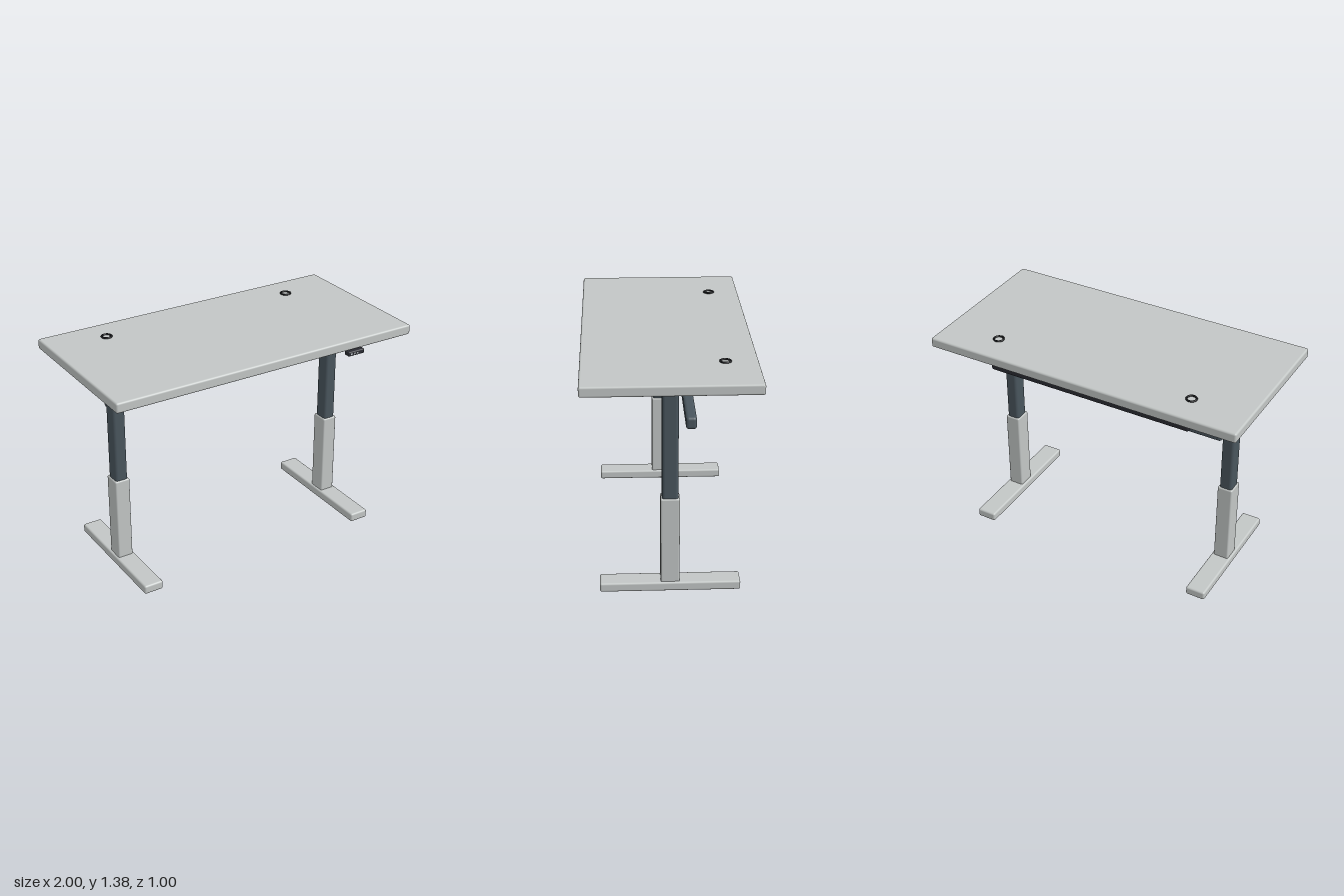
import * as THREE from 'three';
import { RoundedBoxGeometry } from 'three/addons/geometries/RoundedBoxGeometry.js';

const material = (name, color) => {
  const m = new THREE.MeshStandardMaterial({ color });
  m.name = name;
  return m;
};

export function createModel() {
  const desk = new THREE.Group();
  desk.name = 'standingDesk';

  const lightGrey = material('lightGrey', 0xc2c6c5);
  const slate = material('slate', 0x49555d);
  const charcoal = material('charcoal', 0x2a2b32);
  const black = material('black', 0x17181b);
  const buttonGrey = material('buttonGrey', 0xc9ced2);

  const add = (parent, name, geometry, mat, x, y, z) => {
    const mesh = new THREE.Mesh(geometry, mat);
    mesh.name = name;
    mesh.position.set(x, y, z);
    parent.add(mesh);
    return mesh;
  };
  // Rounded box given by its ranges [min, max] on each axis
  const block = (parent, name, mat, [x0, x1], [y0, y1], [z0, z1], radius) =>
    add(parent, name, new RoundedBoxGeometry(x1 - x0, y1 - y0, z1 - z0, 3, radius),
      mat, (x0 + x1) / 2, (y0 + y1) / 2, (z0 + z1) / 2);

  // Desktop
  block(desk, 'desktop', lightGrey, [-1, 1], [1.305, 1.367], [-0.5, 0.5], 0.012);

  for (const side of [-1, 1]) {
    // Telescopic leg with foot, floor pad and mounting plate
    const leg = new THREE.Group();
    leg.name = side > 0 ? 'leftLeg' : 'rightLeg';
    leg.position.x = side * 0.76;
    desk.add(leg);
    block(leg, 'foot', lightGrey, [-0.062, 0.062], [0.011, 0.067], [-0.41, 0.41], 0.012);
    block(leg, 'lowerColumn', lightGrey, [-0.048, 0.048], [0.05, 0.6], [-0.055, 0.055], 0.01);
    block(leg, 'upperColumn', slate, [-0.04, 0.04], [0.55, 1.274], [-0.047, 0.047], 0.018);
    block(leg, 'mountingPlate', lightGrey, [-0.1, 0.1], [1.273, 1.303], [-0.35, 0.35], 0.008);
    add(leg, 'floorPad', new THREE.BoxGeometry(0.07, 0.016, 0.08), black, 0, 0.008, 0);

    // Cable grommet ring
    const ring = add(desk, 'grommet', new THREE.TorusGeometry(0.029, 0.006, 10, 32),
      black, side * 0.64, 1.37, -0.313);
    ring.rotation.x = Math.PI / 2;
  }

  // Cross beam behind the columns
  block(desk, 'crossBeam', slate, [-0.76, 0.76], [1.007, 1.08], [-0.151, -0.089], 0.018);

  // Cable tray under the rear of the desktop
  block(desk, 'cableTray', charcoal, [-0.66, 0.66], [1.185, 1.265], [-0.381, -0.257], 0.014);

  // Height control with a row of buttons
  const control = new THREE.Group();
  control.name = 'heightControl';
  desk.add(control);
  block(control, 'controlBody', charcoal, [0.54, 0.656], [1.264, 1.294], [0.457, 0.502], 0.008);
  for (let i = 0; i < 3; i++) {
    add(control, 'button', new THREE.BoxGeometry(0.013, 0.01, 0.004), buttonGrey,
      0.56 + i * 0.022, 1.279, 0.502);
  }

  return desk;
}
